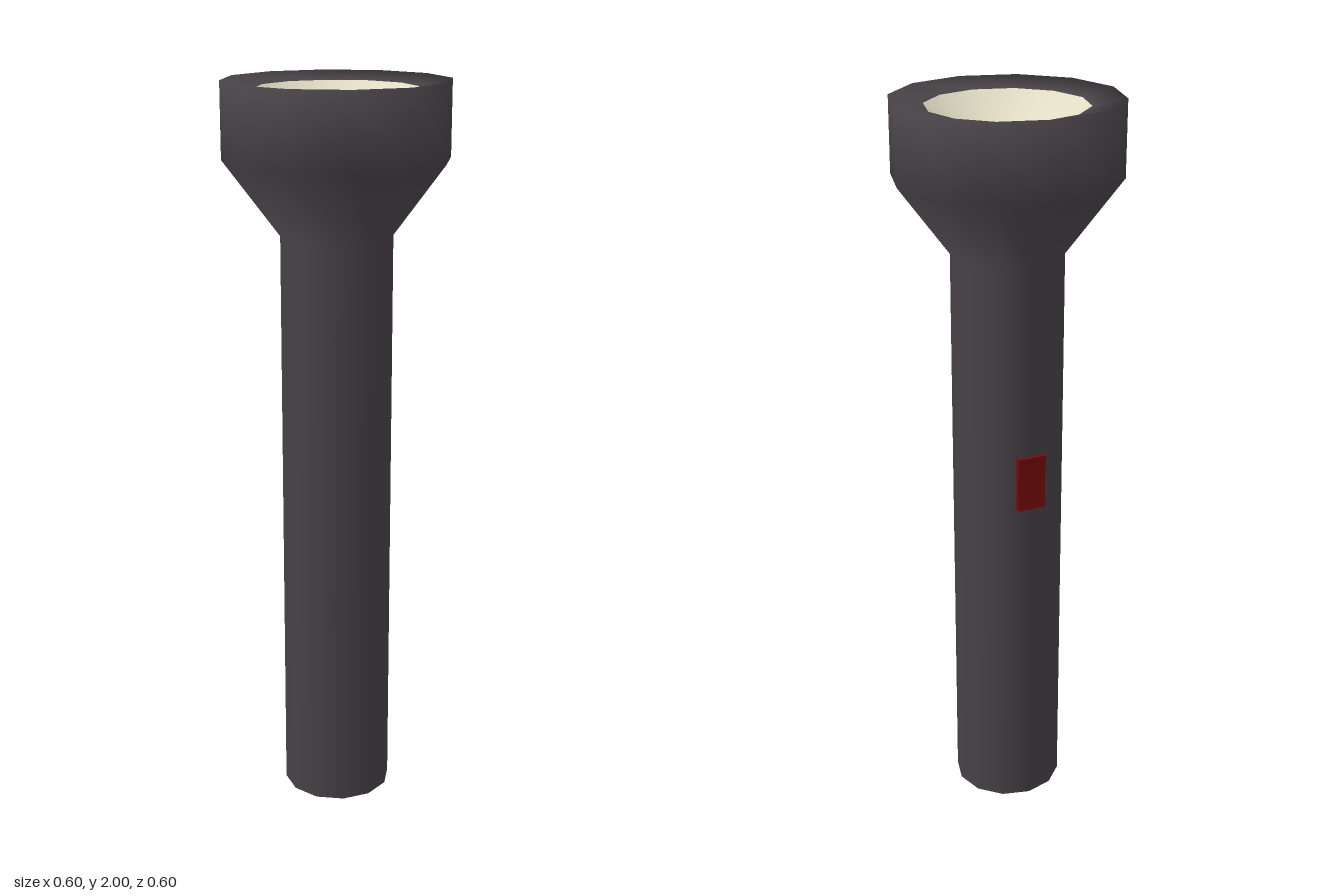
import * as THREE from 'three';

const SIDES = 12;

// Revolve a list of [radius, height] points around the y axis
function lathe(name, points, material) {
  const profile = points.map(([r, y]) => new THREE.Vector2(r, y));
  const mesh = new THREE.Mesh(new THREE.LatheGeometry(profile, SIDES), material);
  mesh.name = name;
  return mesh;
}

export function createModel() {
  const casing = new THREE.MeshStandardMaterial({ color: 0x4a4449 });
  casing.name = 'charcoal casing';
  const cream = new THREE.MeshStandardMaterial({ color: 0xe0dcc4 });
  cream.name = 'cream reflector';
  const red = new THREE.MeshStandardMaterial({ color: 0x7a0a0a });
  red.name = 'dark red switch';

  const group = new THREE.Group();
  group.name = 'flashlight';

  // Handle, flared head and inward-sloping rim in one smooth shell
  group.add(lathe('casing', [
    [0, 0], [0.15, 0], [0.15, 1.6], [0.3, 1.8], [0.3, 2], [0.212, 1.98],
  ], casing));

  // Shallow reflector bowl inside the rim
  const bowl = [];
  const steps = 6;
  for (let i = 0; i <= steps; i++) {
    const r = 0.212 * (1 - i / steps);
    bowl.push([r, 1.9 + 0.08 * (r / 0.212) ** 2]);
  }
  group.add(lathe('reflector', bowl, cream));

  // Rocker switch on the back, dished across its middle
  const rocker = new THREE.BoxGeometry(0.08, 0.15, 0.03, 1, 2, 1);
  const pos = rocker.attributes.position;
  for (let i = 0; i < pos.count; i++) {
    if (pos.getZ(i) < 0 && Math.abs(pos.getY(i)) < 0.01) pos.setZ(i, -0.011);
  }
  rocker.computeVertexNormals();
  const button = new THREE.Mesh(rocker, red);
  button.name = 'switch';
  button.position.set(0, 1.003, -0.142);
  group.add(button);

  return group;
}
